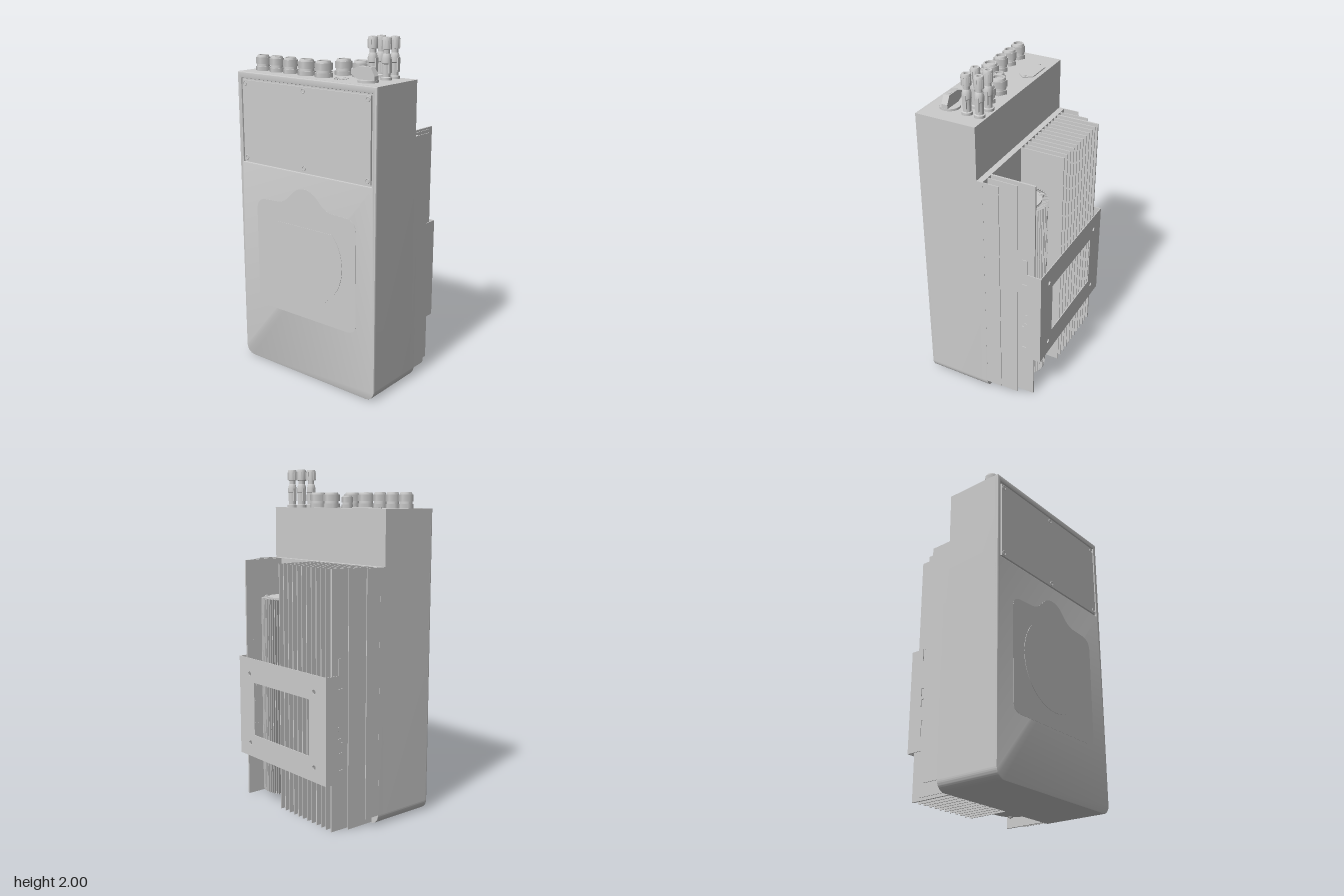
import * as THREE from 'three';
import { toCreasedNormals } from 'three/addons/utils/BufferGeometryUtils.js';

const material = new THREE.MeshStandardMaterial({ color: 0xcccccc, side: THREE.DoubleSide });
const TOP = 1.775; // top of the enclosure

export function createModel() {
  const model = new THREE.Group();

  function add(name, geometry, x = 0, y = 0, z = 0, parent = model) {
    const mesh = new THREE.Mesh(geometry, material);
    mesh.name = name;
    mesh.position.set(x, y, z);
    parent.add(mesh);
    return mesh;
  }
  function group(name, x = 0, y = 0, z = 0) {
    const g = new THREE.Group();
    g.name = name;
    g.position.set(x, y, z);
    model.add(g);
    return g;
  }
  const box = (w, h, d) => new THREE.BoxGeometry(w, h, d);
  const cyl = (r, h, sides = 24, r2 = r) => new THREE.CylinderGeometry(r, r2, h, sides);
  const poly = pts => new THREE.Shape(pts.map(p => new THREE.Vector2(...p)));
  const rect = (x0, y0, x1, y1) => poly([[x0, y0], [x1, y0], [x1, y1], [x0, y1]]);
  const circle = (x, y, r) => new THREE.Shape().absarc(x, y, r, 0, Math.PI * 2);
  const extrude = (shape, depth, bevel = 0) => toCreasedNormals(new THREE.ExtrudeGeometry(shape, {
    depth: depth - 2 * bevel, bevelEnabled: bevel > 0, bevelSize: bevel, bevelThickness: bevel,
    bevelOffset: -bevel, bevelSegments: 2, curveSegments: 16,
  }).translate(0, 0, bevel), 0.5);
  // Plan outline drawn as (x, -z), raised along y
  const raise = (shape, height) => extrude(shape, height).rotateX(-Math.PI / 2);
  const lathe = (pts, sides = 24) =>
    toCreasedNormals(new THREE.LatheGeometry(pts.map(p => new THREE.Vector2(...p)), sides), 0.5);

  // Enclosure outline, rounded at the bottom corners
  function outline(height) {
    const s = new THREE.Shape(), r = 0.06;
    s.moveTo(-0.5, height);
    s.lineTo(-0.5, r);
    s.absarc(-0.5 + r, r, r, Math.PI, Math.PI * 1.5);
    s.absarc(0.5 - r, r, r, Math.PI * 1.5, Math.PI * 2);
    s.lineTo(0.5, height);
    return s;
  }
  add('enclosure', extrude(outline(TOP), 0.347), 0, 0, -0.01);
  const skin = outline(TOP);
  skin.holes.push(rect(-0.473, 1.247, 0.473, 1.739));
  add('frontSkin', extrude(skin, 0.022, 0.005), 0, 0, 0.328);

  // Connection cover with six screws
  add('cover', extrude(rect(-0.463, 1.257, 0.463, 1.729), 0.015), 0, 0, 0.334);
  for (const x of [-0.443, 0, 0.443]) for (const y of [1.277, 1.709]) {
    add('coverScrew', new THREE.TorusGeometry(0.012, 0.003, 6, 20), x, y, 0.349);
  }

  // Shallow raised front panel and blank badge
  const panel = new THREE.Shape();
  panel.moveTo(-0.37, 0.43);
  panel.quadraticCurveTo(-0.37, 0.38, -0.31, 0.375);
  panel.lineTo(0.31, 0.375);
  panel.quadraticCurveTo(0.37, 0.38, 0.37, 0.43);
  panel.lineTo(0.37, 0.97);
  panel.quadraticCurveTo(0.37, 1.04, 0.3, 1.045);
  panel.lineTo(0.2, 1.05);
  panel.bezierCurveTo(0.1, 1.06, 0.1, 1.155, 0, 1.155);
  panel.bezierCurveTo(-0.1, 1.155, -0.1, 1.06, -0.2, 1.05);
  panel.lineTo(-0.3, 1.045);
  panel.quadraticCurveTo(-0.37, 1.04, -0.37, 0.97);
  add('frontPanel', extrude(panel, 0.003), 0, 0, 0.3485);
  const badge = new THREE.Shape().absarc(0, 0.745, 0.275, Math.PI - 0.74, 0.74 + Math.PI * 2);
  add('badge', extrude(badge, 0.004), 0, 0, 0.35);

  // Heat sink: base plate and fins as [x, rear z, thickness, bottom y]
  const sink = group('heatSink');
  add('basePlate', extrude(outline(1.465), 0.035), 0, 0, -0.045, sink);
  const fins = [];
  for (const s of [-1, 1]) {
    fins.push([s * 0.497, -0.14, 0.005, 0.06], [s * 0.443, -0.222, 0.005, 0.005], [s * 0.403, -0.31, 0.011, 0]);
  }
  for (let i = 0; i < 11; i++) fins.push([-0.358 + i * 0.042, -0.31, 0.006, 0]);
  for (const [x, rear, t, y0] of fins) {
    add('fin', box(t, 1.465 - y0, -0.04 - rear), x, (1.465 + y0) / 2, (rear - 0.04) / 2, sink);
  }

  // Arched housing with fins all round
  const cx = 0.23, cz = -0.133, R = 0.115, y0 = 0.04, H = 1.21;
  const housing = group('coilHousing', cx, y0, 0);
  const arch = new THREE.Shape();
  arch.moveTo(-R, 0.04);
  arch.lineTo(R, 0.04);
  arch.absarc(0, -cz, R, 0, Math.PI);
  add('housingBody', raise(arch, H), 0, 0, 0, housing);
  add('housingFoot', box(0.265, H, 0.04), 0, H / 2, -0.06, housing);
  const finLength = 0.044, addFin = (x, z, a) => {
    add('housingFin', box(finLength, H - 0.02, 0.004), x, H / 2, z, housing).rotation.y = a;
  };
  const mid = R + finLength / 2 - 0.004;
  for (let i = 0; i <= 30; i++) {
    const a = (i / 30) * Math.PI;
    addFin(Math.cos(a) * mid, cz - Math.sin(a) * (mid - 0.006), a);
  }
  for (let i = 1; i <= 5; i++) for (const s of [-1, 1]) addFin(s * mid, cz + i * 0.0145, 0);
  for (const s of [-1, 1]) for (const [x, z] of [[0.083, -0.215], [0.115, -0.065]]) {
    add('screwBoss', cyl(0.015, H + 0.006, 16), s * x, H / 2, z, housing);
    add('screwHead', cyl(0.008, H + 0.016, 6), s * x, H / 2, z, housing);
  }

  // Wall bracket: windowed back plate and two notched side flanges
  const bracket = group('wallBracket');
  const plate = rect(-0.415, 0.275, 0.415, 0.885);
  plate.holes.push(rect(-0.265, 0.415, 0.265, 0.74));
  for (const x of [-0.31, 0.31]) for (const y of [0.36, 0.79]) plate.holes.push(circle(x, y, 0.013));
  add('bracketPlate', extrude(plate, 0.005), 0, 0, -0.355, bracket);
  const flange = poly([[-0.355, 0.275], [-0.235, 0.275], [-0.235, 0.35], [-0.262, 0.35], [-0.262, 0.45],
    [-0.235, 0.45], [-0.235, 0.505], [-0.25, 0.505], [-0.25, 0.53], [-0.27, 0.53], [-0.27, 0.64],
    [-0.25, 0.64], [-0.25, 0.66], [-0.235, 0.66], [-0.235, 0.81], [-0.268, 0.81], [-0.268, 0.885], [-0.355, 0.885]]);
  const flangeGeometry = extrude(flange, 0.005).rotateY(-Math.PI / 2);
  for (const s of [-1, 1]) {
    add('bracketFlange', flangeGeometry, s * 0.4125 + 0.0025, 0, 0, bracket);
    for (const y of [0.4, 0.93]) add('bracketHook', box(0.016, 0.095, 0.03), s * 0.404, y, -0.25, bracket);
    add('bracketScrew', cyl(0.011, 0.03, 16), s * 0.4, 0.585, -0.262, bracket).rotation.z = Math.PI / 2;
    add('hookTab', box(0.025, 0.07, 0.005), s * 0.402, 0.72, -0.245, bracket);
  }

  // Cable glands as [x, z, radius]
  const glands = [[-0.411, 0.227, 0.044], [-0.304, 0.227, 0.044], [-0.199, 0.227, 0.044], [-0.078, 0.227, 0.052],
    [0.046, 0.227, 0.052], [-0.016, 0.135, 0.036], [0.075, 0.09, 0.052], [0.199, 0.09, 0.052]];
  for (const [x, z, r] of glands) {
    const g = group('cableGland', x, TOP, z), k = r < 0.04 ? 0.8 : 1;
    add('glandBase', cyl(r, 0.024 * k, 6), 0, 0.012 * k, 0, g);
    add('glandCore', lathe([[r * 0.82, 0], [r * 0.82, 0.076 * k], [r * 0.7, 0.09 * k], [r * 0.55, 0.09 * k],
      [r * 0.52, 0.07 * k], [0, 0.07 * k]]), 0, 0, 0, g);
    add('glandNut', cyl(r * 0.95, 0.038 * k, 6), 0, 0.058 * k, 0, g).rotation.y = 0.3;
  }

  // Solar plug connectors
  for (const x of [0.288, 0.379]) for (const z of [0.03, 0.105]) {
    const g = group('plugConnector', x, TOP, z);
    add('plugBody', lathe([[0.03, 0], [0.03, 0.015], [0.022, 0.018], [0.022, 0.085], [0.026, 0.09], [0.026, 0.115],
      [0.021, 0.135], [0.018, 0.14], [0.018, 0.16], [0.027, 0.162], [0.027, 0.215], [0.023, 0.225],
      [0.012, 0.225], [0.012, 0.2], [0, 0.2]], 20), 0, 0, 0, g);
    for (const s of [-1, 1]) add('plugClip', box(0.01, 0.075, 0.022), s * 0.023, 0.075, 0, g);
    for (let i = 0; i < 10; i++) {
      const a = (i / 10) * Math.PI * 2;
      add('gripRib', box(0.004, 0.045, 0.004), Math.cos(a) * 0.027, 0.188, Math.sin(a) * 0.027, g).rotation.y = -a;
    }
  }

  // Rotary isolator switch
  add('switchDisc', cyl(0.057, 0.012, 32), 0.35, TOP + 0.006, 0.227);
  const lever = poly([[0.25, 1.81], [0.3, 1.785], [0.405, 1.785], [0.405, 1.81], [0.38, 1.855], [0.3, 1.855], [0.25, 1.835]]);
  add('switchLever', extrude(lever, 0.036), 0, 0, 0.209);
  add('switchScrew', cyl(0.011, 0.006, 16), 0.35, 1.855, 0.227);

  // Low vent plug with a ribbed edge
  const vent = group('ventPlug', 0.167, TOP, 0.227);
  add('ventRim', new THREE.TorusGeometry(0.03, 0.003, 6, 32).rotateX(Math.PI / 2), 0, 0, 0, vent);
  for (let i = 0; i < 12; i++) {
    const a = (i / 12) * Math.PI * 2;
    add('ventRib', box(0.005, 0.006, 0.01), Math.cos(a) * 0.036, 0.001, Math.sin(a) * 0.036, vent).rotation.y = -a;
  }

  // Blanking plate on the top
  const blank = poly([[-0.385, -0.06], [-0.345, -0.105], [-0.195, -0.105], [-0.155, -0.06], [-0.195, -0.015], [-0.345, -0.015]]);
  add('blankingPlate', raise(blank, 0.006), 0, TOP, 0);
  for (const x of [-0.362, -0.178]) add('blankingScrew', cyl(0.008, 0.004, 16), x, TOP + 0.008, 0.06);

  return model;
}
